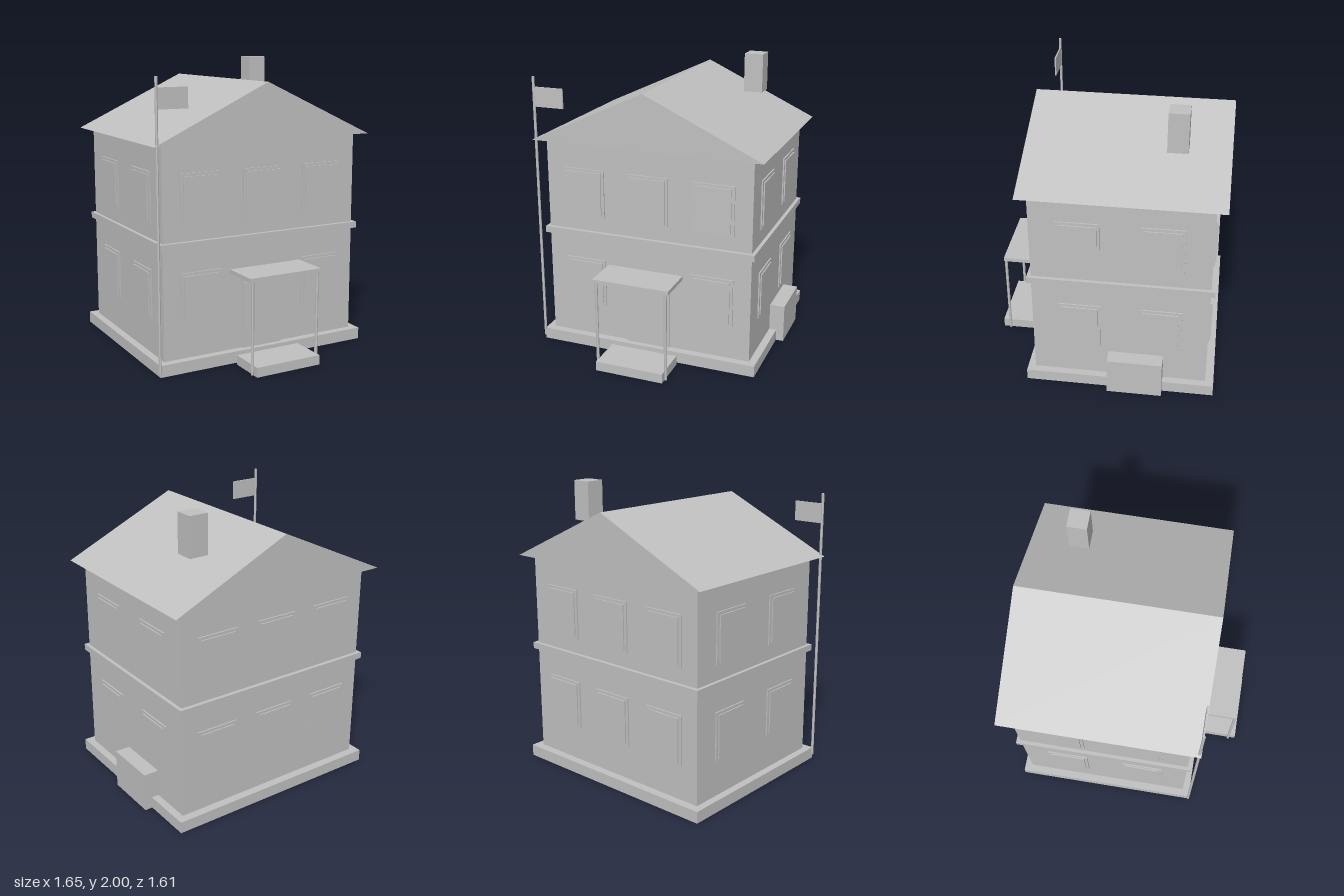
import * as THREE from 'three';

export function createModel() {
  const house = new THREE.Group();
  house.name = 'house';
  const grey = new THREE.MeshStandardMaterial({ color: 0xc0c0c0, flatShading: true, side: THREE.DoubleSide });
  grey.name = 'plain grey';

  const add = (name, geometry, parent = house) => {
    const mesh = new THREE.Mesh(geometry, grey);
    mesh.name = name;
    parent.add(mesh);
    return mesh;
  };
  // Box given by its low and high bounds
  const box = (name, [x0, x1], [y0, y1], [z0, z1], parent) => {
    const mesh = add(name, new THREE.BoxGeometry(x1 - x0, y1 - y0, z1 - z0), parent);
    mesh.position.set((x0 + x1) / 2, (y0 + y1) / 2, (z0 + z1) / 2);
    return mesh;
  };
  // Box standing on the ground, hollow and open underneath
  const openBox = (name, xs, top, zs) => {
    const { geometry } = box(name, xs, [0, top], zs);
    const index = Array.from(geometry.index.array);
    index.splice(18, 6); // the downward face
    geometry.setIndex(index);
    geometry.clearGroups();
  };
  const pole = (name, r, x, z, y0, y1) => {
    const mesh = add(name, new THREE.CylinderGeometry(r, r, y1 - y0, 6));
    mesh.position.set(x, (y0 + y1) / 2, z);
  };

  // Main body
  const wallX = [-0.747, 0.718], wallZ = [-0.733, 0.455];
  const midX = -0.014, midZ = -0.139;
  openBox('base', [-0.798, 0.77], 0.08, [-0.79, 0.508]);
  box('walls', wallX, [0.08, 1.49], wallZ);
  box('floorBand', [-0.771, 0.743], [0.819, 0.863], [-0.76, 0.482]);

  // Gable roof
  const gable = new THREE.Shape();
  gable.moveTo(-0.823, 1.49);
  gable.lineTo(0.795, 1.49);
  gable.lineTo(midX, 1.866);
  gable.closePath();
  const roof = new THREE.ExtrudeGeometry(gable, { depth: 1.325, bevelEnabled: false });
  add('roof', roof.translate(0, 0, -0.805));
  box('chimney', [0.379, 0.512], [1.732, 2], [-0.533, -0.401]);

  // Framed panel facing +z, sitting on a wall
  const panel = (name, w, y0, y1, [side, bottom, top]) => {
    const group = new THREE.Group();
    group.name = name;
    const h = w / 2;
    box('frame', [-h, h], [y0, y1], [-0.005, 0.009], group);
    box('pane', [-h + side, h - side], [y0 + bottom, y1 - top], [0, 0.017], group);
    house.add(group);
    return group;
  };

  // Windows on two floors; the lower middle one at the front gives way to the door
  const border = [0.021, 0.018, 0.02];
  for (const [y0, y1] of [[0.319, 0.655], [0.965, 1.305]]) {
    for (const i of [-1, 0, 1]) {
      const x = midX + i * 0.461;
      if (i !== 0 || y0 > 0.5) panel('frontWindow', 0.298, y0, y1, border).position.set(x, 0, wallZ[1]);
      const back = panel('backWindow', 0.298, y0, y1, border);
      back.position.set(x, 0, wallZ[0]);
      back.rotation.y = Math.PI;
    }
    for (const z of [midZ - 0.273, midZ + 0.273]) {
      for (const side of [0, 1]) {
        const win = panel(side ? 'leftWindow' : 'rightWindow', 0.286, y0, y1, border);
        win.position.set(wallX[side], 0, z);
        win.rotation.y = (side ? 1 : -1) * Math.PI / 2;
      }
    }
  }
  panel('frontDoor', 0.316, 0.03, 0.57, [0.016, 0.04, 0.036]).position.set(midX, 0, wallZ[1]);

  // Porch
  openBox('porchStep', [-0.254, 0.227], 0.066, [0.538, 0.803]);
  box('porchCanopy', [-0.284, 0.255], [0.623, 0.65], [0.498, 0.762]);
  for (const s of [-1, 1]) pole('porchPost', 0.0105, midX + s * 0.246, 0.752, 0.002, 0.627);

  // Outdoor unit beside the wall
  openBox('utilityBox', [0.716, 0.823], 0.27, [-0.438, -0.061]);

  // Flagpole
  pole('flagpole', 0.0095, -0.799, 0.506, 0.027, 1.92);
  box('flag', [-0.795, -0.585], [1.718, 1.852], [0.5, 0.51]);

  return house;
}
